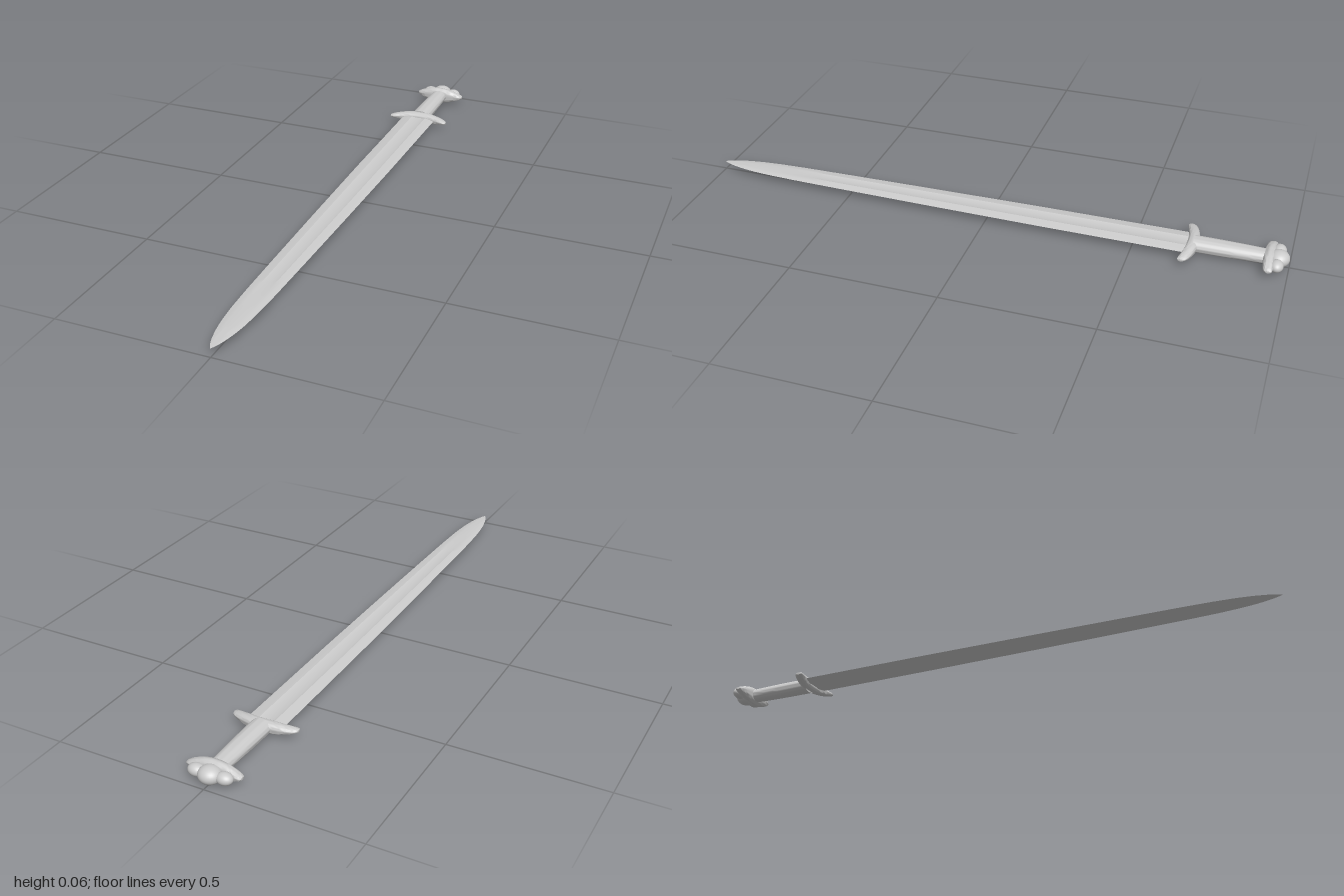
import * as THREE from 'three';
import { toCreasedNormals } from 'three/addons/utils/BufferGeometryUtils.js';

const Y = 0.03; // height of the sword's mid-plane
const steel = new THREE.MeshStandardMaterial({ color: 0xcccccc });

// Skins a list of equal-sized closed rings of [x, y, z] points, capping both ends
function loft(rings, crease = 0.6) {
  const n = rings[0].length;
  const centre = (r) => [0, 1, 2].map((k) => r.reduce((s, p) => s + p[k], 0) / n);
  const all = [
    rings[0].map(() => centre(rings[0])),
    ...rings,
    rings[0].map(() => centre(rings[rings.length - 1])),
  ];
  const index = [];
  for (let i = 0; i < all.length - 1; i++) {
    for (let j = 0; j < n; j++) {
      const k = (j + 1) % n;
      const a = i * n + j, b = i * n + k, c = b + n, d = a + n;
      if (i > 0) index.push(a, b, c);
      if (i === 0 || i < all.length - 2) index.push(a, c, d);
      else index.push(a, b, d);
    }
  }
  const g = new THREE.BufferGeometry();
  g.setAttribute('position', new THREE.Float32BufferAttribute(all.flat(2), 3));
  g.setIndex(index);
  return toCreasedNormals(g, crease);
}

// Linear lookup in a short table of [position, value]
function lookup(table, t) {
  for (let i = 1; i < table.length; i++) {
    const [t0, v0] = table[i - 1], [t1, v1] = table[i];
    if (t <= t1) return v0 + ((v1 - v0) * (t - t0)) / (t1 - t0);
  }
  return table[table.length - 1][1];
}

// Curved bar running along x, with rounded oval sections tapering to the ends
function crossBar({ half, z, bend, depth, endDepth, height, endHeight }) {
  const rings = [];
  const steps = 32, sides = 24;
  for (let i = 0; i <= steps; i++) {
    const u = -Math.cos((i / steps) * Math.PI);
    const round = Math.pow(Math.max(0, 1 - Math.pow(Math.abs(u), 14)), 0.5) * 0.6 + 0.4;
    const hz = (depth + (endDepth - depth) * u * u) * round;
    const hy = endHeight + (height - endHeight) * (1 - u * u);
    const ring = [];
    for (let j = 0; j < sides; j++) {
      const a = (j / sides) * Math.PI * 2;
      const c = Math.cos(a), s = Math.sin(a);
      ring.push([
        u * half,
        Y + hy * Math.sign(c) * Math.pow(Math.abs(c), 0.75),
        z + bend * u * u + hz * Math.sign(s) * Math.pow(Math.abs(s), 0.75),
      ]);
    }
    rings.push(ring);
  }
  return loft(rings, 0.8);
}

// Double-edged blade with a shallow fuller that fades out near the point
function bladeGeometry() {
  const width = [
    [-0.69, 0.062], [-0.2, 0.06], [0.2, 0.055], [0.5, 0.05], [0.7, 0.046], [0.8, 0.042],
    [0.87, 0.036], [0.92, 0.028], [0.96, 0.018], [0.985, 0.009], [1, 0.0005],
  ];
  const rings = [];
  for (let i = 0; i <= 48; i++) {
    const t = i / 48;
    const z = -0.69 + 1.69 * (1 - Math.pow(1 - t, 1.6));
    const w = lookup(width, z);
    const h = lookup([[-0.69, 0.0065], [0.7, 0.0045], [0.9, 0.0035], [1, 0.0003]], z);
    const dip = lookup([[-0.69, 0.45], [0.6, 0.4], [0.8, 0]], z);
    const top = [
      [0.72, 0.55], [0.42, 1], [0.3, 1 - dip * 0.75], [0, 1 - dip],
      [-0.3, 1 - dip * 0.75], [-0.42, 1], [-0.72, 0.55],
    ];
    const section = [[1, 0], ...top, [-1, 0], ...top.map(([x, y]) => [-x, -y])];
    rings.push(section.map(([x, y]) => [x * w, Y + y * h, z]));
  }
  return loft(rings, 0.35);
}

// Oval grip, slightly slimmer towards the pommel
function gripGeometry() {
  const rings = [];
  for (let i = 0; i <= 12; i++) {
    const t = i / 12;
    const swell = 0.001 * Math.sin(t * Math.PI);
    const rx = 0.029 + 0.006 * t + swell, ry = 0.022 + 0.002 * t + swell;
    const ring = [];
    for (let j = 0; j < 32; j++) {
      const a = (j / 32) * Math.PI * 2;
      ring.push([rx * Math.cos(a), Y + ry * Math.sin(a), -0.93 + 0.235 * t]);
    }
    rings.push(ring);
  }
  return loft(rings);
}

export function createModel() {
  const sword = new THREE.Group();
  sword.name = 'sword';
  const add = (name, geometry, parent = sword) => {
    const mesh = new THREE.Mesh(geometry, steel);
    mesh.name = name;
    parent.add(mesh);
    return mesh;
  };

  add('blade', bladeGeometry());
  add('grip', gripGeometry());

  // Lower guard sweeps towards the blade
  add('crossGuard', crossBar({
    half: 0.11, z: -0.693, bend: 0.022, depth: 0.019, endDepth: 0.015, height: 0.019, endHeight: 0.004,
  }));

  // Pommel: wide upper guard carrying three lobes
  const pommel = new THREE.Group();
  pommel.name = 'pommel';
  sword.add(pommel);
  add('upperGuard', crossBar({
    half: 0.09, z: -0.935, bend: -0.006, depth: 0.018, endDepth: 0.014, height: 0.029, endHeight: 0.004,
  }), pommel);
  const lobe = (name, x, z, rx, ry, rz) => {
    const mesh = add(name, new THREE.SphereGeometry(1, 32, 20), pommel);
    mesh.scale.set(rx, ry, rz);
    mesh.position.set(x, Y, z);
  };
  lobe('centreLobe', 0, -0.965, 0.036, 0.027, 0.035);
  for (const side of [-1, 1]) {
    lobe(side > 0 ? 'leftLobe' : 'rightLobe', side * 0.046, -0.963, 0.027, 0.019, 0.022);
  }
  return sword;
}
